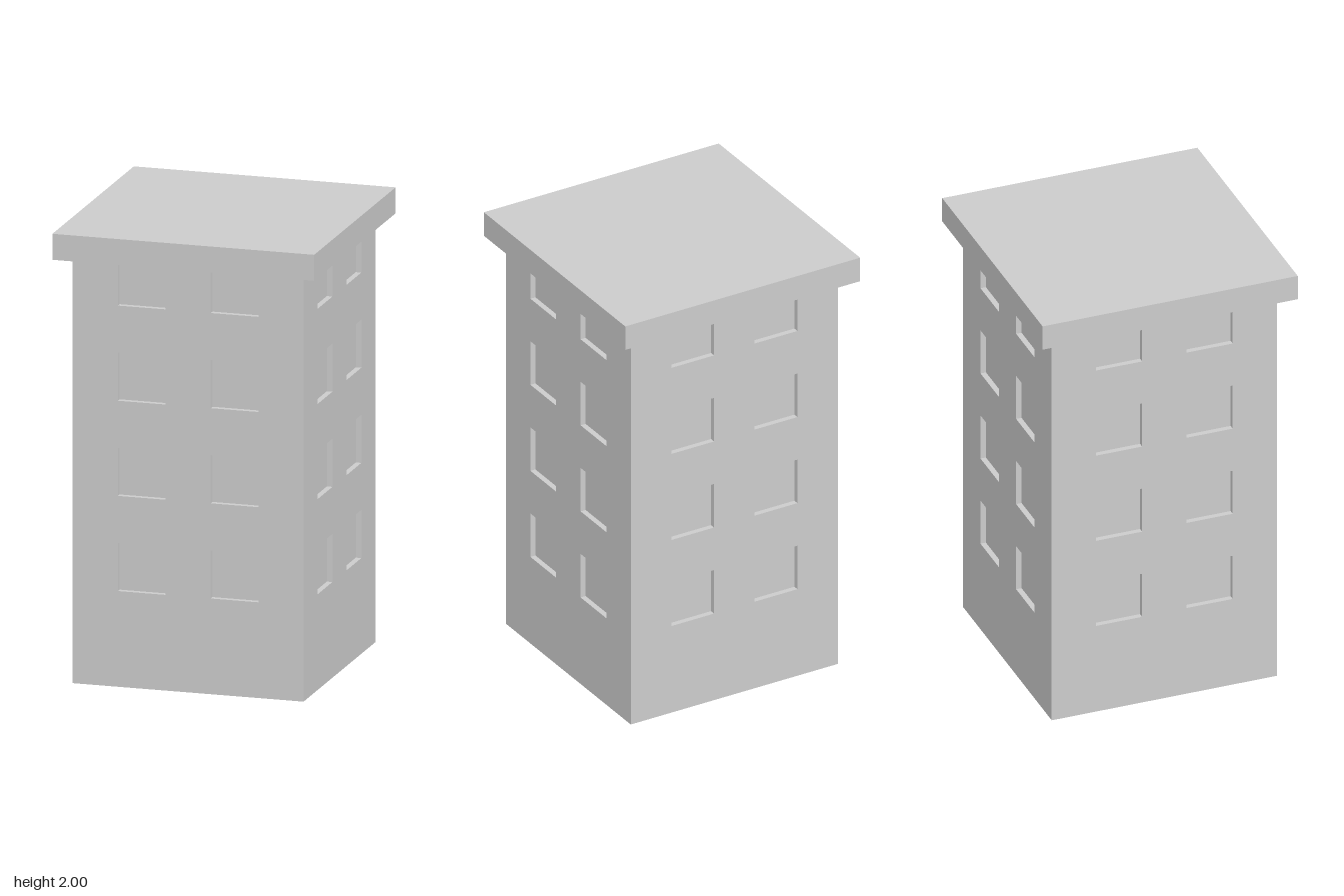
import * as THREE from 'three';

const HALF = 0.517, WALL_TOP = 1.95;            // wall tops are buried in the roof slab
const ROOF_SIZE = 1.172, ROOF_BOTTOM = 1.885;
const WIN = 0.213, WIN_X = 0.208, WIN_Y = 0.53, STOREY = 0.421, DEPTH = 0.025;

// Centres of the two-by-four grid of windows on each wall
const windows = [];
for (let row = 0; row < 4; row++)
  for (const side of [-1, 1]) windows.push([side * WIN_X, WIN_Y + row * STOREY]);

// Flat wall sheet with square openings
function wallGeometry() {
  const shape = new THREE.Shape([
    new THREE.Vector2(-HALF, 0), new THREE.Vector2(HALF, 0),
    new THREE.Vector2(HALF, WALL_TOP), new THREE.Vector2(-HALF, WALL_TOP),
  ]);
  const h = WIN / 2;
  for (const [x, y] of windows) {
    shape.holes.push(new THREE.Path([
      new THREE.Vector2(x - h, y - h), new THREE.Vector2(x - h, y + h),
      new THREE.Vector2(x + h, y + h), new THREE.Vector2(x + h, y - h),
    ]));
  }
  return new THREE.ShapeGeometry(shape);
}

// Shallow box without its front, turned inside out: four reveals and a back pane
function recessGeometry() {
  const geo = new THREE.BoxGeometry(WIN, WIN, DEPTH);
  const index = Array.from(geo.index.array);
  index.splice(24, 6);
  geo.setIndex(index.reverse());
  geo.clearGroups();
  const normal = geo.attributes.normal;
  for (let i = 0; i < normal.array.length; i++) normal.array[i] *= -1;
  return geo.translate(0, 0, -DEPTH / 2);
}

export function createModel() {
  const model = new THREE.Group();
  model.name = 'towerBlock';
  const material = new THREE.MeshStandardMaterial({ color: 0xcccccc, side: THREE.DoubleSide });
  const wallGeo = wallGeometry(), recessGeo = recessGeometry();

  // Four identical walls around an open-bottomed shell
  ['front', 'left', 'back', 'right'].forEach((name, i) => {
    const side = new THREE.Group();
    side.name = name + 'Side';
    const wall = new THREE.Mesh(wallGeo, material);
    wall.name = name + 'Wall';
    wall.position.z = HALF;
    side.add(wall);
    for (const [x, y] of windows) {
      const recess = new THREE.Mesh(recessGeo, material);
      recess.name = name + 'Window';
      recess.position.set(x, y, HALF);
      side.add(recess);
    }
    side.rotation.y = i * Math.PI / 2;
    model.add(side);
  });

  // Overhanging flat roof slab
  const thickness = 2 - ROOF_BOTTOM;
  const roof = new THREE.Mesh(new THREE.BoxGeometry(ROOF_SIZE, thickness, ROOF_SIZE), material);
  roof.name = 'roof';
  roof.position.y = ROOF_BOTTOM + thickness / 2;
  model.add(roof);
  return model;
}
